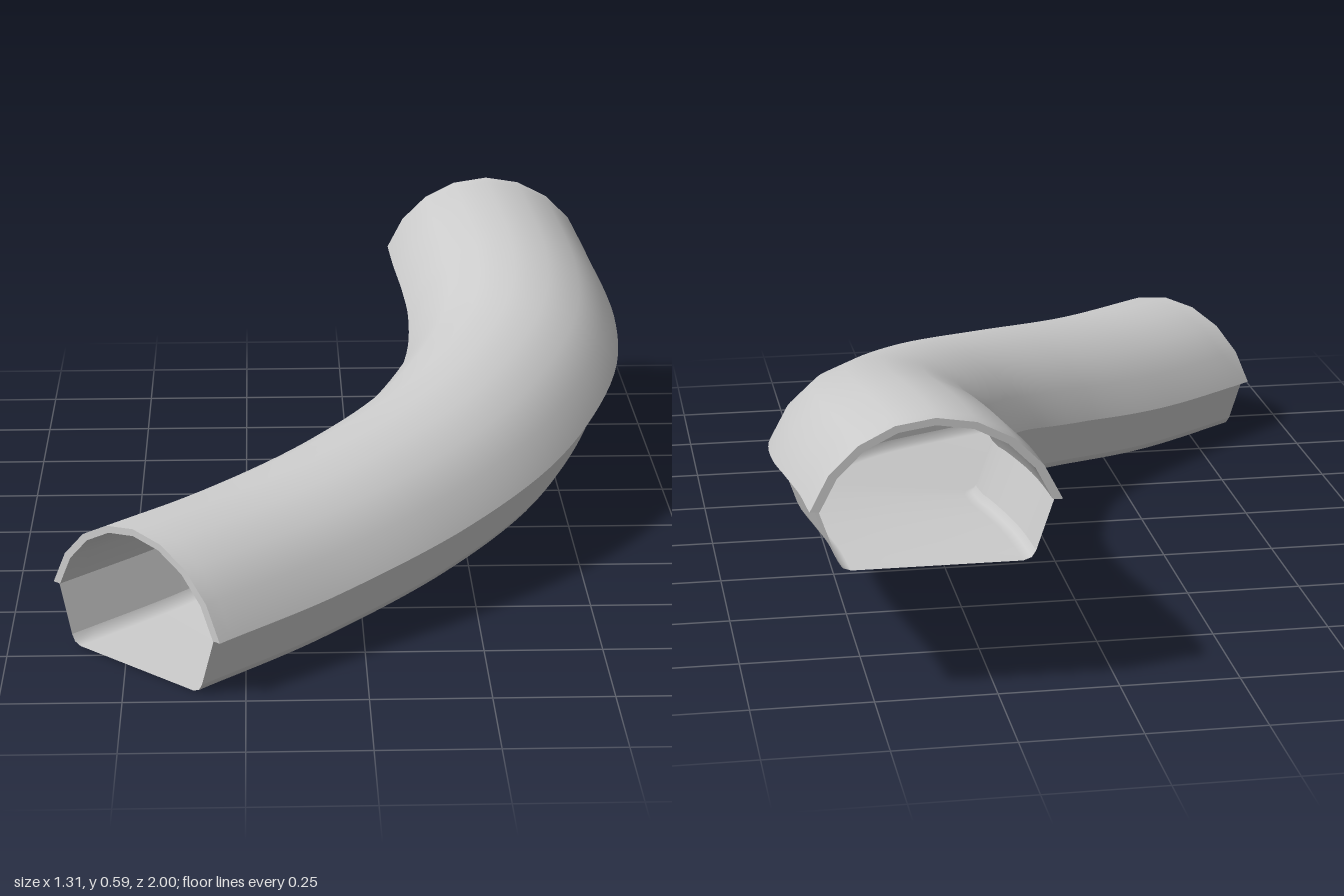
import * as THREE from 'three';
import { mergeGeometries } from 'three/addons/utils/BufferGeometryUtils.js';

const STEPS = 48;

// Centre line at floor level, from the raised back end down to the front end
const path = new THREE.CatmullRomCurve3([
  [0.37, 0.282, -1], [0.377, 0.276, -0.85], [0.393, 0.257, -0.65], [0.4, 0.235, -0.5],
  [0.386, 0.2, -0.3], [0.335, 0.163, -0.12], [0.21, 0.11, 0.137], [0.02, 0.06, 0.37],
  [-0.23, 0.017, 0.6], [-0.478, 0, 0.82],
].map(p => new THREE.Vector3(...p)));

// Upright frames along the path: position plus horizontal side direction
const frames = Array.from({ length: STEPS + 1 }, (_, i) => {
  const t = path.getTangentAt(i / STEPS);
  if (i === 0) t.set(0, 0, 1);
  if (i === STEPS) t.set(-0.71, 0, 0.7);
  return { pos: path.getPointAt(i / STEPS), side: new THREE.Vector3(t.z, 0, -t.x).normalize() };
});

// Place a [sideways, height] section in a frame
const place = (section, f) => section.map(([s, h]) => {
  const p = f.pos.clone().addScaledVector(f.side, s);
  p.y += h;
  return p;
});

// Smooth surface through rows of points
function skin(rows) {
  const n = rows[0].length, index = [];
  for (let i = 0; i < rows.length - 1; i++) {
    for (let j = 0; j < n - 1; j++) {
      const a = i * n + j, b = a + 1, c = a + n, d = c + 1;
      index.push(a, c, b, b, c, d);
    }
  }
  const g = new THREE.BufferGeometry().setFromPoints(rows.flat());
  g.setIndex(index);
  g.computeVertexNormals();
  return g;
}

const sweep = section => skin(frames.map(f => place(section, f)));

// Circular arch section, running left to right
function arch(halfWidth, base, rise) {
  const r = (halfWidth ** 2 + rise ** 2) / (2 * rise);
  const half = Math.asin(halfWidth / r);
  return Array.from({ length: 9 }, (_, k) => {
    const a = half * (k / 4 - 1);
    return [r * Math.sin(a), base + rise - r + r * Math.cos(a)];
  });
}

export function createModel() {
  const group = new THREE.Group();
  const add = (name, geometry, side) => {
    const mesh = new THREE.Mesh(geometry, new THREE.MeshStandardMaterial({ color: 0xcccccc, side }));
    mesh.name = name;
    group.add(mesh);
  };

  // Arched cover with wall thickness, bottom lips and end rims
  const outer = arch(0.252, 0.125, 0.181), inner = arch(0.232, 0.125, 0.166);
  const first = frames[0], last = frames[STEPS];
  add('archedCover', mergeGeometries([
    sweep(outer),
    sweep([...inner].reverse()),
    sweep([outer[8], inner[8]]),
    sweep([inner[0], outer[0]]),
    skin([place(inner, first), place(outer, first)]),
    skin([place(outer, last), place(inner, last)]),
  ]), THREE.FrontSide);

  // Thin trough below the cover: sloping sides, rounded corners, flat floor
  const corner = [[0.234, 0.125], [0.198, 0.02], [0.189, 0.006], [0.172, 0]];
  const mirrored = corner.map(([s, h]) => [-s, h]).reverse();
  add('trough', mergeGeometries([
    sweep(corner.slice(0, 2)),
    sweep([...corner.slice(1), ...mirrored.slice(0, 3)]),
    sweep(mirrored.slice(2)),
  ]), THREE.DoubleSide);

  return group;
}
